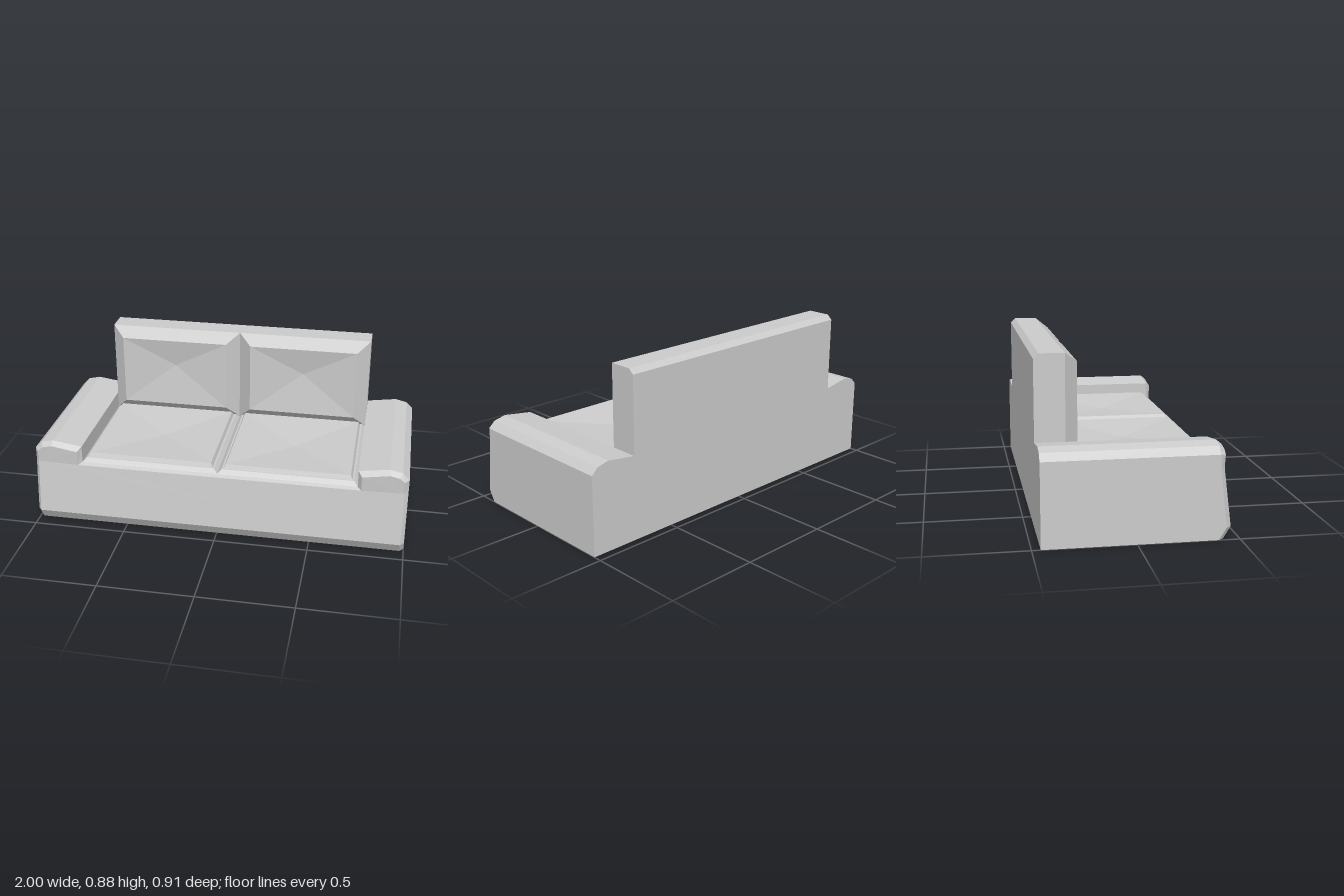
import * as THREE from 'three';

const material = new THREE.MeshStandardMaterial({ color: 0xcccccc, flatShading: true });

// Flat-shaded mesh from corner points and convex polygons (counter-clockwise from outside)
function polyMesh(name, points, polys) {
  const pos = [];
  for (const p of polys) {
    for (let i = 1; i < p.length - 1; i++) pos.push(...points[p[0]], ...points[p[i]], ...points[p[i + 1]]);
  }
  const geo = new THREE.BufferGeometry();
  geo.setAttribute('position', new THREE.Float32BufferAttribute(pos, 3));
  geo.computeVertexNormals();
  const mesh = new THREE.Mesh(geo, material);
  mesh.name = name;
  return mesh;
}

// Base and both arms: a U-shaped outline lofted from back to bevelled, leaning front
function makeBody() {
  const full = [[1, 0], [1, 0.06], [1, 0.36], [1, 0.42], [0.965, 0.455], [0.9, 0.47], [0.74, 0.447], [0.74, 0.355]];
  const inset = [[0.98, 0], [0.98, 0.06], [0.98, 0.35], [0.98, 0.415], [0.95, 0.437], [0.9, 0.448], [0.76, 0.425], [0.76, 0.345]];
  const midZ = [0.395, 0.432, 0.397, 0.397, 0.397, 0.397, 0.397, 0.4];
  const frontZ = [0.42, 0.457, 0.42, 0.424, 0.424, 0.424, 0.424, 0.42];
  const ring = (outline, zs) => {
    const right = outline.map(([x, y], i) => [x, y, zs[i]]);
    return [...right, ...right.map(([x, y, z]) => [-x, y, z]).reverse()];
  };
  const points = [...ring(full, Array(8).fill(-0.457)), ...ring(full, midZ), ...ring(inset, frontZ)];
  const polys = [];
  for (let r = 0; r < 2; r++) {
    for (let i = 0; i < 16; i++) {
      const j = (i + 1) % 16, a = r * 16, b = a + 16;
      polys.push([b + i, a + i, a + j, b + j]);
    }
  }
  // End caps: plinth strip, main panel, two arm fronts
  const caps = [[0, 1, 14, 15], [1, 2, 7, 8, 13, 14], [2, 3, 4, 5, 6, 7], [13, 8, 9, 10, 11, 12]];
  for (const c of caps) {
    polys.push(c.map(i => i + 32));
    polys.push([...c].reverse());
  }
  return polyMesh('baseAndArms', points, polys);
}

// Cushion facing +z: nested rectangles [x0, x1, y0, y1, height] closed by a sunken centre point
function makeCushion(name, rings, centre) {
  const points = [];
  const polys = [];
  for (const [x0, x1, y0, y1, h] of rings) points.push([x0, y0, h], [x1, y0, h], [x1, y1, h], [x0, y1, h]);
  points.push(centre);
  rings.forEach((_, r) => {
    for (let i = 0; i < 4; i++) {
      const a = r * 4 + i, b = r * 4 + (i + 1) % 4;
      polys.push(r < rings.length - 1 ? [a, b, b + 4, a + 4] : [a, b, points.length - 1]);
    }
  });
  return polyMesh(name, points, polys);
}

// Backrest: side profile extruded across the width
function makeBackrest() {
  const profile = new THREE.Shape([[-0.457, 0.355], [-0.305, 0.355], [-0.305, 0.88], [-0.43, 0.88], [-0.457, 0.855]]
    .map(p => new THREE.Vector2(...p)));
  const geo = new THREE.ExtrudeGeometry(profile, { depth: 1.48, bevelEnabled: false });
  geo.translate(0, 0, -0.74).rotateY(-Math.PI / 2);
  const mesh = new THREE.Mesh(geo, material);
  mesh.name = 'backrest';
  return mesh;
}

export function createModel() {
  const sofa = new THREE.Group();
  sofa.name = 'sofa';
  sofa.add(makeBody(), makeBackrest());

  for (const [side, x] of [['left', 0], ['right', -0.74]]) {
    // Seat cushion with a stepped piped edge
    const seat = makeCushion(side + 'SeatCushion', [
      [0, 0.74, -0.4, 0.305, 0.355],
      [0.02, 0.72, -0.378, 0.285, 0.375],
      [0.03, 0.71, -0.37, 0.275, 0.375],
      [0.04, 0.7, -0.36, 0.265, 0.397],
    ], [0.37, -0.045, 0.37]);
    seat.rotation.x = -Math.PI / 2;
    seat.position.x = x;

    // Back cushion with a wide bevel
    const back = makeCushion(side + 'BackCushion', [
      [0, 0.74, 0.355, 0.88, -0.305],
      [0.07, 0.67, 0.435, 0.828, -0.238],
    ], [0.37, 0.67, -0.265]);
    back.position.x = x;
    sofa.add(seat, back);
  }
  return sofa;
}
